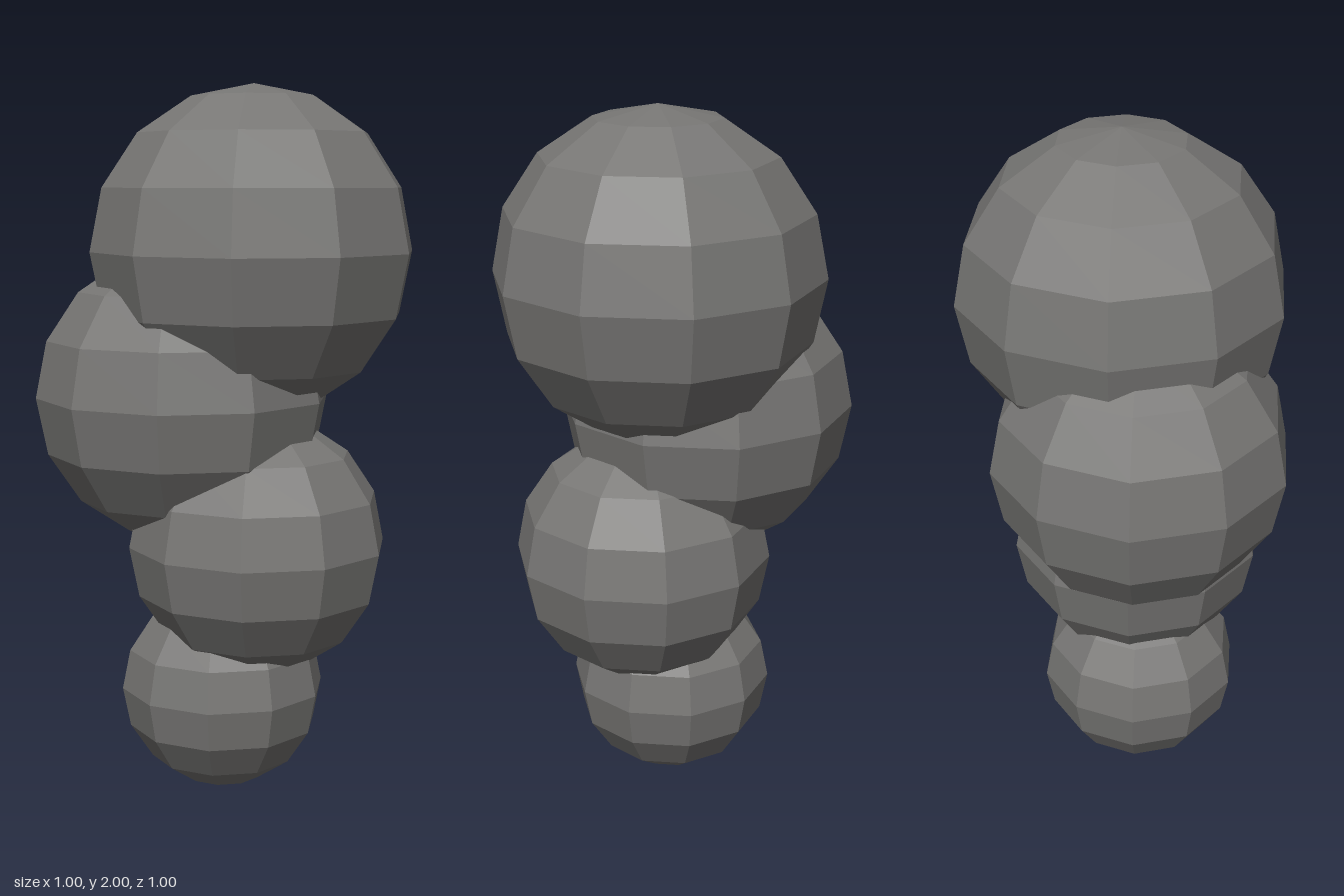
import * as THREE from 'three';

export function createModel() {
  const group = new THREE.Group();
  const stone = new THREE.MeshStandardMaterial({ color: 0x777674, flatShading: true });
  stone.name = 'stone grey';

  // Stacked faceted boulders: name, radius, centre
  const boulders = [
    ['bottomBoulder', 0.292, 0.012, 0.292, 0.035],
    ['lowerBoulder', 0.368, 0.105, 0.715, -0.012],
    ['upperBoulder', 0.42, -0.1, 1.13, 0.08],
    ['topBoulder', 0.46, 0.06, 1.54, -0.04],
  ];
  for (const [name, radius, x, y, z] of boulders) {
    const geometry = new THREE.SphereGeometry(radius, 10, 8);
    geometry.rotateY(Math.PI / 2); // corners point to front and back
    const mesh = new THREE.Mesh(geometry, stone);
    mesh.name = name;
    mesh.position.set(x, y, z);
    group.add(mesh);
  }
  return group;
}
